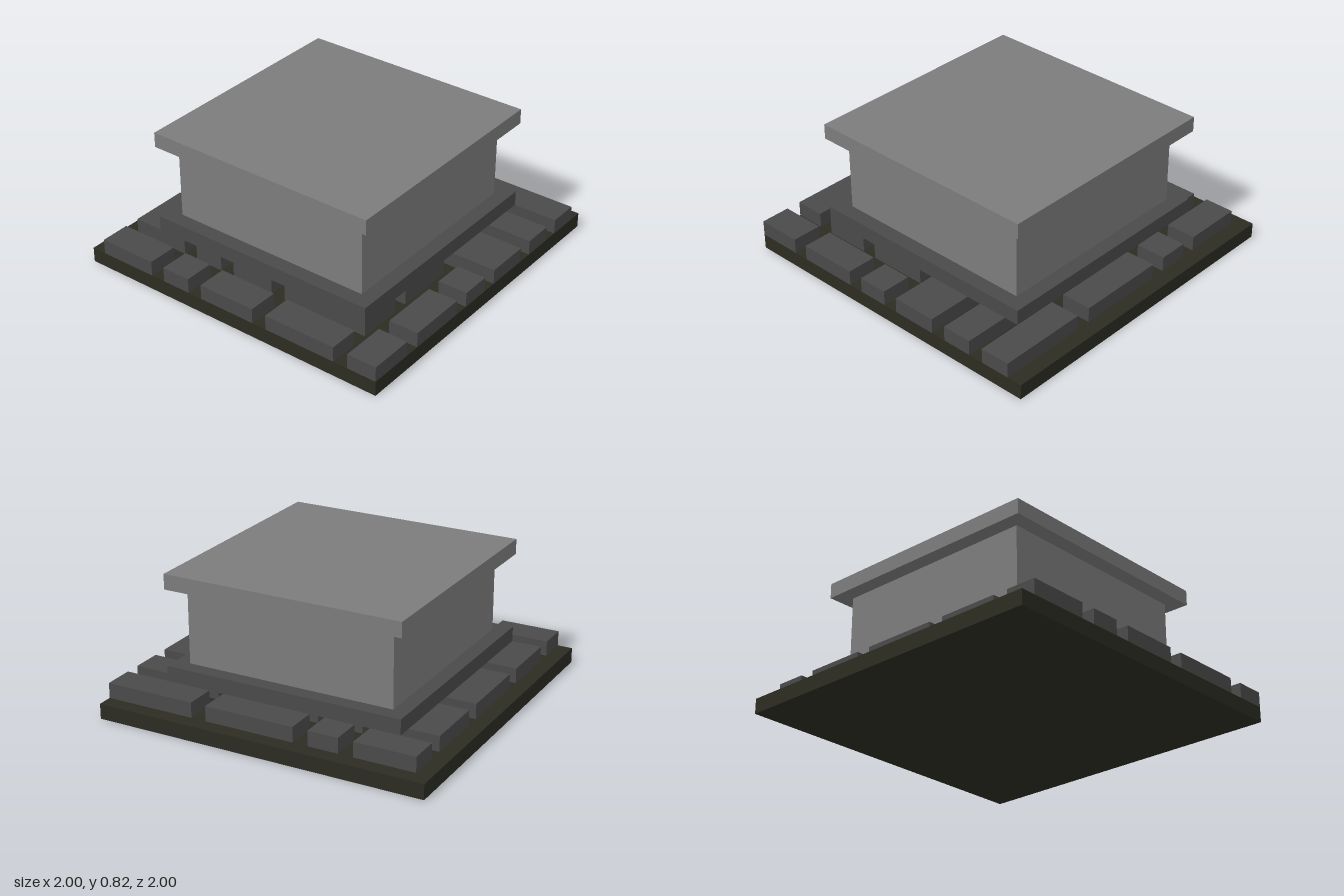
import * as THREE from 'three';

const U = 1 / 11; // one grid cell

export function createModel() {
  const model = new THREE.Group();
  model.name = 'stonePedestal';

  const material = (name, color) => {
    const m = new THREE.MeshStandardMaterial({ color });
    m.name = name;
    return m;
  };
  const earth = material('dark earth', 0x2c2c22);
  const darkStone = material('dark stone', 0x4a4a4a);
  const lightStone = material('light stone', 0x7c7c7c);

  // Box given by its limits in grid cells
  function block(name, mat, x0, x1, y0, y1, z0, z1, parent = model) {
    const geometry = new THREE.BoxGeometry((x1 - x0) * U, (y1 - y0) * U, (z1 - z0) * U);
    const mesh = new THREE.Mesh(geometry, mat);
    mesh.name = name;
    mesh.position.set((x0 + x1) / 2 * U, (y0 + y1) / 2 * U, (z0 + z1) / 2 * U);
    parent.add(mesh);
  }

  // Stacked square layers
  block('groundSlab', earth, -11, 11, 0, 1, -11, 11);
  block('plinth', darkStone, -8, 8, 2, 3, -8, 8);
  block('body', lightStone, -7, 7, 3, 8, -7, 7);
  block('capSlab', lightStone, -8, 8, 8, 9, -8, 8);

  // Paving stones: x0, x1, z0, z1
  const paving = {
    leftEdgeStone: [[8, 10, -10, -6], [8, 10, -5, -3], [8, 10, -2, 4], [8, 10, 5, 11]],
    rightEdgeStone: [[-11, -9, -10, -6], [-11, -9, -5, -3], [-11, -9, -2, 2], [-11, -9, 3, 8]],
    frontStone: [[-11, -8, 9, 11], [-7, -3, 9, 11], [-2, 0, 9, 11], [1, 4, 5, 11], [5, 7, 5, 11]],
    backStone: [[-8, -4, -10, -6], [-3, 2, -10, -3], [3, 7, -10, -6]],
    innerStone: [
      [-8, -4, -5, -3], [3, 7, -5, -3],
      [-8, -5, -2, 1], [-4, 0, -2, 1], [1, 7, -2, 4],
      [-8, -5, 2, 8], [-4, 0, 2, 8],
    ],
  };
  const stones = new THREE.Group();
  stones.name = 'pavingStones';
  model.add(stones);
  for (const [name, list] of Object.entries(paving)) {
    for (const [x0, x1, z0, z1] of list) block(name, darkStone, x0, x1, 1, 2, z0, z1, stones);
  }

  return model;
}
